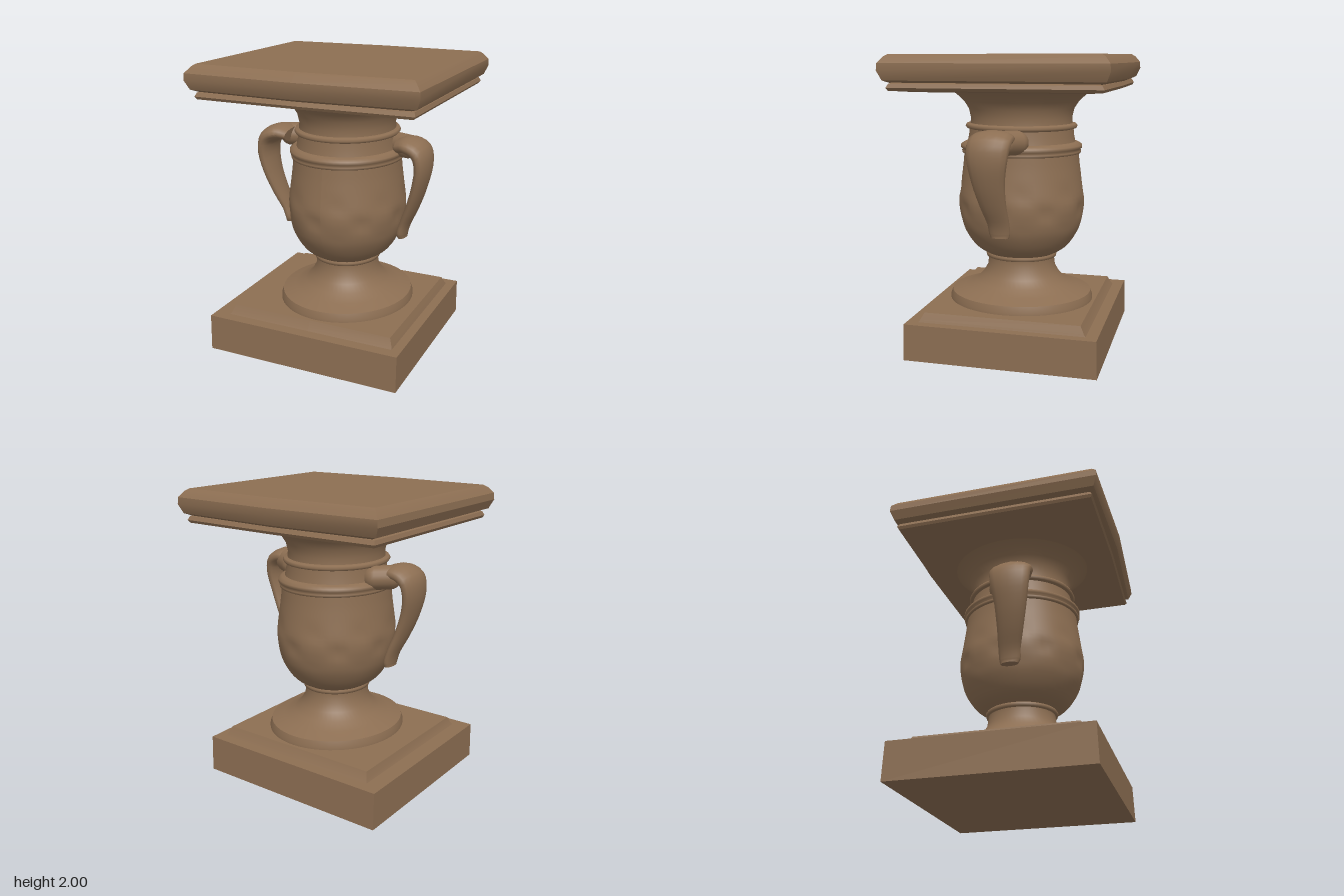
import * as THREE from 'three';
import { toCreasedNormals } from 'three/addons/utils/BufferGeometryUtils.js';

const stone = new THREE.MeshStandardMaterial({ color: 0x8c6e52 });
stone.name = 'brown stone';

// Skin a stack of rings (each counter-clockwise about the travel direction) and cap both ends
function loft(rings, crease) {
  const n = rings[0].length, pos = [];
  const tri = (...pts) => pts.forEach((p) => pos.push(p.x, p.y, p.z));
  for (let r = 0; r < rings.length - 1; r++) {
    const a = rings[r], b = rings[r + 1];
    for (let i = 0; i < n; i++) {
      const j = (i + 1) % n;
      tri(a[i], a[j], b[j]);
      tri(a[i], b[j], b[i]);
    }
  }
  const first = rings[0], last = rings[rings.length - 1];
  const middle = (ring) => ring.reduce((s, p) => s.add(p), new THREE.Vector3()).divideScalar(n);
  const c0 = middle(first), c1 = middle(last);
  for (let i = 0; i < n; i++) {
    const j = (i + 1) % n;
    tri(c0, first[j], first[i]);
    tri(c1, last[i], last[j]);
  }
  const g = new THREE.BufferGeometry();
  g.setAttribute('position', new THREE.Float32BufferAttribute(pos, 3));
  g.computeVertexNormals();
  return toCreasedNormals(g, crease);
}

// Rectangular moulding: rows of [y, x min, x max, z half-depth]; bulge bows front and back
function moulding(rows, bulge) {
  return loft(rows.map(([y, x0, x1, z]) => {
    const xm = (x0 + x1) / 2;
    return [[x0, z], [xm, z + bulge], [x1, z], [x1, -z], [xm, -z - bulge], [x0, -z]]
      .map(([x, d]) => new THREE.Vector3(x, y, d));
  }), 0.5);
}

// Tapered strap swept along a path: stations of [x, y, z, half-thickness, half-width]
function strap(stations, side) {
  const curve = new THREE.CatmullRomCurve3(stations.map(([x, y, z]) => new THREE.Vector3(x * side, y, z)));
  const rings = [], steps = 28, last = stations.length - 1;
  for (let s = 0; s <= steps; s++) {
    const u = s / steps, k = Math.min(Math.floor(u * last), last - 1), f = u * last - k;
    const mix = (c) => THREE.MathUtils.lerp(stations[k][c], stations[k + 1][c], f);
    const p = curve.getPoint(u), t = curve.getTangent(u).setZ(0).normalize();
    const normal = new THREE.Vector3(-t.y, t.x, 0), ring = [];
    for (let i = 0; i < 16; i++) {
      const a = (i / 16) * Math.PI * 2;
      const q = p.clone().addScaledVector(normal, Math.cos(a) * mix(3));
      q.z += Math.sin(a) * mix(4);
      ring.push(q);
    }
    rings.push(ring);
  }
  return loft(rings, 1.0);
}

// Turned part with a slightly deeper oval plan
function turned(profile) {
  const g = new THREE.LatheGeometry(profile.map(([r, y]) => new THREE.Vector2(r, y)), 56);
  g.scale(1, 1, 1.08);
  return g;
}

export function createModel() {
  const model = new THREE.Group();
  model.name = 'urn';
  const add = (name, geometry, parent = model) => {
    const m = new THREE.Mesh(geometry, stone);
    m.name = name;
    parent.add(m);
    return m;
  };

  // Square plinth and step
  add('plinth', moulding([[0, -0.735, 0.65, 0.648], [0.25, -0.735, 0.65, 0.64]], 0));
  add('plinthStep', moulding([[0.24, -0.63, 0.59, 0.57], [0.265, -0.615, 0.58, 0.55], [0.312, -0.6, 0.56, 0.525]], 0));

  // Round vase, offset slightly from the slabs
  const vase = new THREE.Group();
  vase.name = 'vase';
  vase.position.x = 0.02;
  model.add(vase);

  add('footRim', turned([[0.465, 0.3], [0.465, 0.33], [0.452, 0.37]]), vase);
  add('foot', turned([[0.452, 0.37], [0.37, 0.4], [0.295, 0.435], [0.25, 0.485], [0.22, 0.54], [0.213, 0.6], [0.215, 0.62]]), vase);
  add('stemRing', turned([[0.2, 0.605], [0.226, 0.612], [0.23, 0.63], [0.22, 0.645], [0.19, 0.65]]), vase);

  // Bowl with shallow carved dimples around its middle
  const outline = new THREE.SplineCurve([[0.215, 0.635], [0.3, 0.695], [0.37, 0.81], [0.396, 0.92], [0.403, 1.02],
    [0.383, 1.18], [0.372, 1.27], [0.365, 1.35]].map(([r, y]) => new THREE.Vector2(r, y)));
  const bowl = turned(outline.getPoints(36).map((p) => [p.x, p.y]));
  const pos = bowl.attributes.position;
  for (let i = 0; i < pos.count; i++) {
    const x = pos.getX(i), y = pos.getY(i), z = pos.getZ(i), a = Math.atan2(z, x);
    const band = Math.exp(-(((y - 0.99) / 0.12) ** 2));
    const k = 1 - 0.03 * band * Math.max(0, Math.sin(a * 8 + 0.5) * Math.cos((y - 0.97) * 22));
    pos.setXYZ(i, x * k, y, z * k);
  }
  bowl.computeVertexNormals();
  add('bowl', bowl, vase);

  add('shoulderRing', turned([[0.355, 1.335], [0.378, 1.34], [0.381, 1.355], [0.372, 1.365], [0.387, 1.375],
    [0.387, 1.395], [0.365, 1.41], [0.335, 1.42]]), vase);
  add('collar', turned([[0.345, 1.41], [0.335, 1.46], [0.33, 1.52]]), vase);
  add('collarRing', turned([[0.32, 1.5], [0.348, 1.508], [0.356, 1.522], [0.348, 1.537], [0.31, 1.545]]), vase);
  add('neck', turned([[0.325, 1.535], [0.322, 1.58], [0.335, 1.64], [0.365, 1.69], [0.41, 1.735], [0.45, 1.765], [0.49, 1.785]]), vase);

  // Pair of strap handles, each with a rounded lug joining the collar
  const stations = [[0.4, 1.46, 0.05, 0.045, 0.12], [0.47, 1.475, 0.065, 0.055, 0.145], [0.55, 1.44, 0.07, 0.06, 0.145],
    [0.575, 1.35, 0.075, 0.05, 0.135], [0.55, 1.2, 0.075, 0.045, 0.11], [0.5, 1.05, 0.06, 0.04, 0.09],
    [0.445, 0.92, 0.04, 0.034, 0.075], [0.425, 0.85, 0.037, 0.035, 0.072], [0.428, 0.82, 0.035, 0.028, 0.06]];
  for (const side of [1, -1]) {
    const handle = new THREE.Group();
    handle.name = side > 0 ? 'leftHandle' : 'rightHandle';
    vase.add(handle);
    add('strap', strap(stations, side), handle);
    const lug = add('lug', new THREE.CapsuleGeometry(0.08, 0.1, 6, 18), handle);
    lug.position.set(side * 0.39, 1.44, -0.03);
    lug.quaternion.setFromUnitVectors(new THREE.Vector3(0, 1, 0), new THREE.Vector3(side * 0.85, 0.05, 0.5).normalize());
  }

  // Square capital: thin fillet below a heavy rounded slab
  add('capitalFillet', moulding([[1.765, -0.6, 0.6, 0.54], [1.777, -0.725, 0.725, 0.665], [1.795, -0.735, 0.74, 0.675],
    [1.82, -0.725, 0.73, 0.66], [1.835, -0.69, 0.69, 0.63]], 0.012));
  add('capitalSlab', moulding([[1.825, -0.71, 0.71, 0.66], [1.84, -0.755, 0.755, 0.69], [1.9, -0.782, 0.78, 0.715],
    [1.945, -0.778, 0.778, 0.712], [1.985, -0.745, 0.745, 0.68], [2, -0.725, 0.725, 0.655]], 0.03));

  return model;
}
